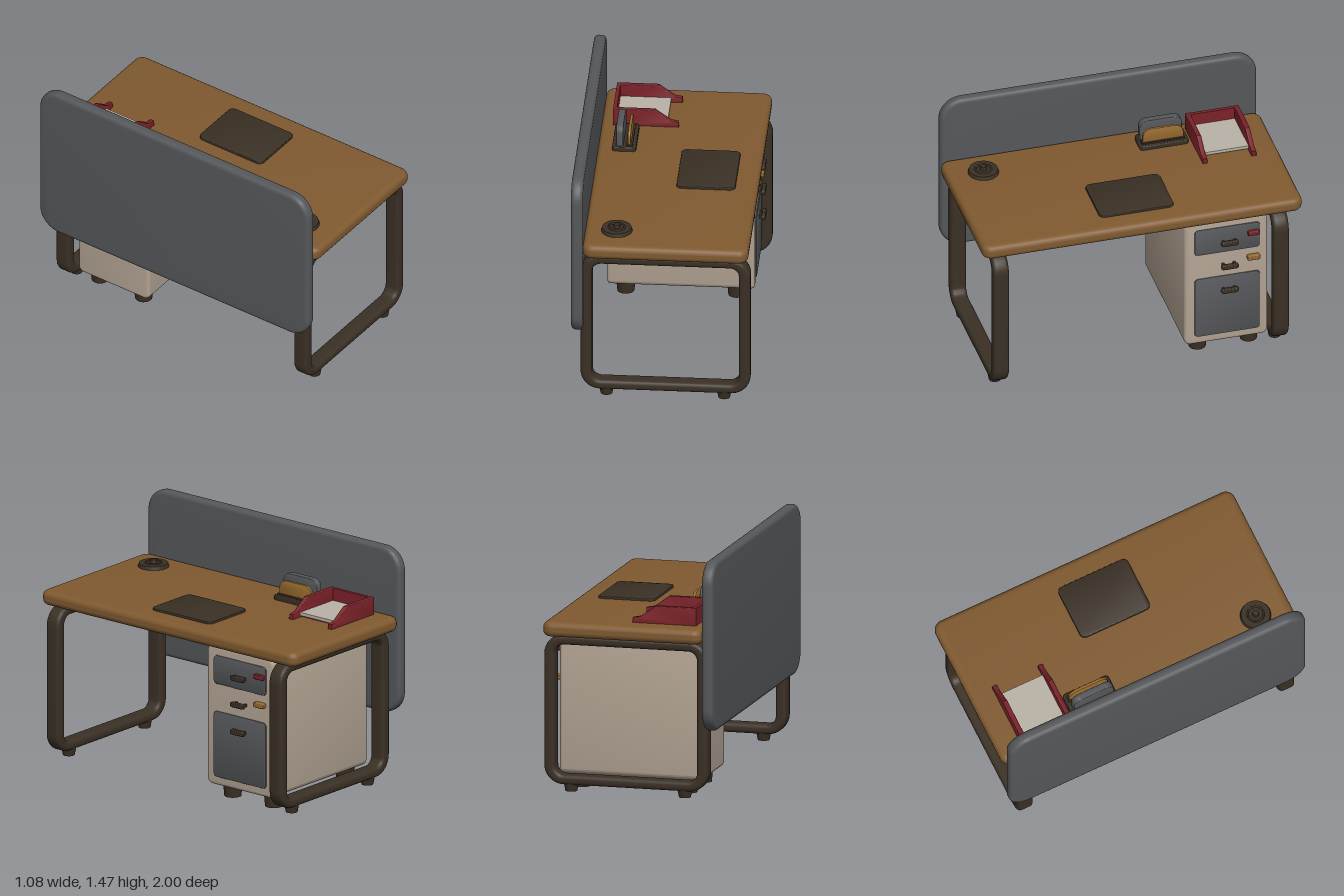
import * as THREE from 'three';
import { toCreasedNormals } from 'three/addons/utils/BufferGeometryUtils.js';

const mat = (name, color) => new THREE.MeshStandardMaterial({ name, color });

// Rounded rectangle traced onto a Shape or Path
function roundRect(path, w, h, r) {
  const x = w / 2, y = h / 2;
  path.moveTo(-x + r, -y);
  path.lineTo(x - r, -y);
  path.absarc(x - r, -y + r, r, -Math.PI / 2, 0);
  path.lineTo(x, y - r);
  path.absarc(x - r, y - r, r, 0, Math.PI / 2);
  path.lineTo(-x + r, y);
  path.absarc(-x + r, y - r, r, Math.PI / 2, Math.PI);
  path.lineTo(-x, -y + r);
  path.absarc(-x + r, -y + r, r, Math.PI, Math.PI * 1.5);
  return path;
}

// Shape extruded along z with softened edges, centred on z = 0
function extrude(shape, depth, bevel) {
  const g = new THREE.ExtrudeGeometry(shape, {
    depth: depth - 2 * bevel, bevelEnabled: bevel > 0, bevelThickness: bevel,
    bevelSize: bevel, bevelOffset: -bevel, bevelSegments: 4, curveSegments: 8,
  });
  g.translate(0, 0, bevel - depth / 2);
  return toCreasedNormals(g, 0.6);
}

// Rounded slab whose outline faces the given axis
function slab(w, h, depth, r, bevel, axis = 'z') {
  const g = extrude(roundRect(new THREE.Shape(), w, h, r), depth, bevel);
  if (axis === 'x') g.rotateY(Math.PI / 2);
  if (axis === 'y') g.rotateX(-Math.PI / 2);
  return g;
}

export function createModel() {
  const root = new THREE.Group();
  root.name = 'desk';
  const wood = mat('wood', 0x805a30);
  const dark = mat('dark metal', 0x3a3025);
  const grey = mat('grey', 0x55575a);
  const cream = mat('cream', 0xb3a494);
  const red = mat('red', 0x7b2229);
  const paper = mat('paper', 0xbab2a7);
  const amber = mat('amber', 0x966a2e);

  const add = (name, geo, material, x, y, z, parent = root) => {
    const m = new THREE.Mesh(geo, material);
    m.name = name;
    m.position.set(x, y, z);
    parent.add(m);
    return m;
  };
  const group = (name) => {
    const g = new THREE.Group();
    g.name = name;
    root.add(g);
    return g;
  };

  // Table top and privacy screen
  add('tableTop', slab(1.0, 2.0, 0.09, 0.06, 0.035, 'y'), wood, 0.03, 1.009, 0);
  add('privacyScreen', slab(1.98, 1.045, 0.072, 0.14, 0.025, 'x'), grey, -0.504, 0.943, 0);

  // Looped leg frames with small feet
  const loop = roundRect(new THREE.Shape(), 1.025, 0.92, 0.12);
  loop.holes.push(roundRect(new THREE.Path(), 0.885, 0.8, 0.055));
  const loopGeo = extrude(loop, 0.1, 0.022);
  const footGeo = new THREE.CylinderGeometry(0.045, 0.036, 0.05, 20);
  for (const z of [0.892, -0.858]) {
    const leg = group(z > 0 ? 'frontLegFrame' : 'backLegFrame');
    add('loop', loopGeo, dark, 0.028, 0.502, z, leg);
    for (const x of [-0.33, 0.38]) add('foot', footGeo, dark, x, 0.025, z, leg);
  }

  // Drawer cabinet facing +x
  const cab = group('drawerCabinet');
  const cz = -0.53, face = 0.475;
  add('cabinetBody', slab(0.52, 0.88, 0.89, 0.04, 0.02, 'x'), cream, 0.03, 0.525, cz, cab);
  add('topDrawerFront', slab(0.41, 0.18, 0.016, 0.025, 0.004, 'x'), grey, face, 0.818, cz - 0.005, cab);
  add('bottomDrawerFront', slab(0.41, 0.415, 0.016, 0.025, 0.004, 'x'), grey, face, 0.348, cz - 0.005, cab);
  for (const y of [0.805, 0.637, 0.465]) {
    add('handle', slab(0.11, 0.034, 0.024, 0.016, 0.008, 'x'), dark, face + 0.036, y, -0.543, cab);
    for (const dz of [-0.035, 0.035])
      add('handlePost', new THREE.BoxGeometry(0.035, 0.018, 0.016), dark, face + 0.015, y, -0.543 + dz, cab);
  }
  add('upperLatch', slab(0.075, 0.03, 0.03, 0.01, 0.006, 'x'), red, face + 0.015, 0.843, -0.697, cab);
  add('lowerLatch', slab(0.08, 0.032, 0.034, 0.012, 0.006, 'x'), amber, face + 0.013, 0.665, -0.697, cab);
  const caster = new THREE.CylinderGeometry(0.06, 0.052, 0.095, 24);
  for (const x of [-0.31, 0.36]) for (const z of [-0.38, -0.7])
    add('caster', caster, dark, x, 0.0475, z, cab);

  // Desk mat
  add('deskMat', slab(0.355, 0.465, 0.02, 0.035, 0.005, 'y'), dark, 0.218, 1.059, 0.003);

  // Paper tray with sloping side walls
  const tray = group('paperTray');
  const side = new THREE.Shape([
    [-0.398, 1.05], [0, 1.05], [-0.002, 1.085], [-0.05, 1.094], [-0.145, 1.163], [-0.398, 1.163],
  ].map(([x, y]) => new THREE.Vector2(x, y)));
  const sideGeo = extrude(side, 0.03, 0.004);
  for (const z of [-0.838, -0.533]) add('traySide', sideGeo, red, 0, 0, z, tray);
  add('trayBack', new THREE.BoxGeometry(0.022, 0.112, 0.3), red, -0.387, 1.106, -0.685, tray);
  add('trayFloor', new THREE.BoxGeometry(0.3, 0.02, 0.29), red, -0.235, 1.06, -0.685, tray);
  add('paperStack', new THREE.BoxGeometry(0.31, 0.02, 0.285), paper, -0.224, 1.075, -0.686, tray);

  // Upright file holder: base, tall plate and a shorter divider
  const holder = group('fileHolder');
  add('holderBase', slab(0.145, 0.305, 0.03, 0.02, 0.006, 'y'), dark, -0.308, 1.066, -0.347, holder);
  const arch = (w, h, d, r) => {
    const s = new THREE.Shape();
    s.moveTo(-w / 2, 0);
    s.lineTo(w / 2, 0);
    s.lineTo(w / 2, h - r);
    s.absarc(w / 2 - r, h - r, r, 0, Math.PI / 2);
    s.absarc(-w / 2 + r, h - r, r, Math.PI / 2, Math.PI);
    return extrude(s, d, 0.004).rotateY(Math.PI / 2);
  };
  add('tallPlate', arch(0.265, 0.14, 0.042, 0.05), grey, -0.335, 1.07, -0.343, holder);
  add('divider', arch(0.255, 0.108, 0.018, 0.055), amber, -0.277, 1.07, -0.345, holder);
  add('dividerRail', new THREE.BoxGeometry(0.04, 0.015, 0.27), dark, -0.277, 1.083, -0.345, holder);

  // Round desk puck with a ring and a central knob
  const puck = group('deskPuck');
  add('puckBody', new THREE.CylinderGeometry(0.088, 0.095, 0.026, 32), dark, -0.277, 1.063, 0.777, puck);
  const ring = new THREE.TorusGeometry(0.048, 0.006, 8, 28).rotateX(Math.PI / 2);
  add('puckRing', ring, dark, -0.277, 1.077, 0.777, puck);
  add('puckKnob', new THREE.CylinderGeometry(0.018, 0.022, 0.024, 20), dark, -0.277, 1.084, 0.777, puck);

  return root;
}
